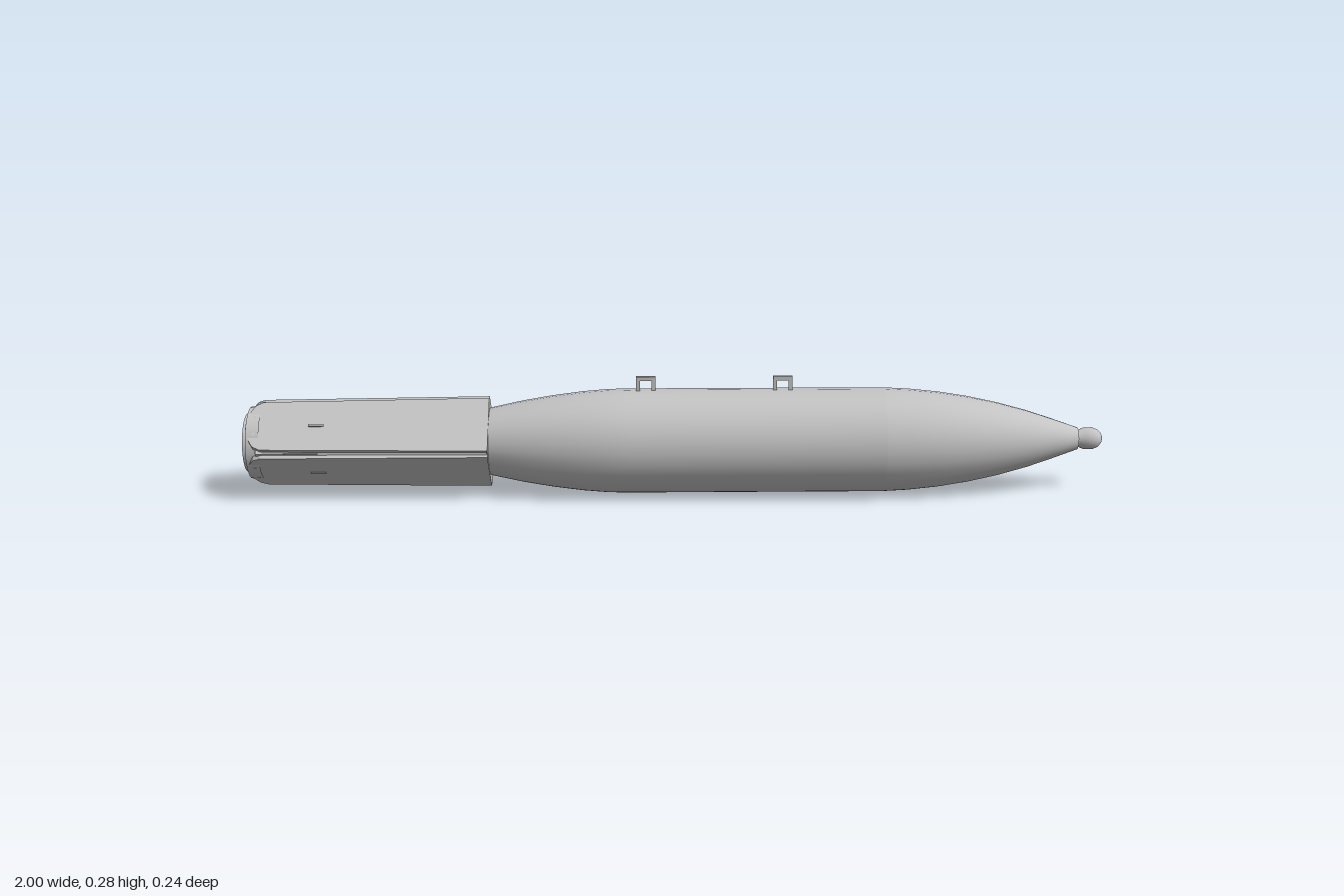
import * as THREE from 'three';

const AXIS_Y = 0.123;

export function createModel() {
  const model = new THREE.Group();
  const grey = new THREE.MeshStandardMaterial({ color: 0xc4c4c4 });
  grey.name = 'light grey paint';

  const add = (parent, name, geometry, x = 0, y = 0, z = 0) => {
    const mesh = new THREE.Mesh(geometry, grey);
    mesh.name = name;
    mesh.position.set(x, y, z);
    parent.add(mesh);
    return mesh;
  };
  // Smooth solid of revolution about x, from [x, radius] pairs with x rising
  const revolve = (pairs) => new THREE.LatheGeometry(
    pairs.map(([x, r]) => new THREE.Vector2(r, x)), 28).rotateZ(-Math.PI / 2);
  const box = (w, h, d) => new THREE.BoxGeometry(w, h, d);

  const round = new THREE.Group();
  round.name = 'bomb';
  round.position.y = AXIS_Y;
  model.add(round);

  // Casing and nose
  add(round, 'casing', revolve([[-0.46, 0.073], [-0.43, 0.08], [-0.36, 0.095], [-0.29, 0.107],
    [-0.22, 0.116], [-0.16, 0.121], [-0.11, 0.122], [0.2, 0.122], [0.48, 0.122]]));
  add(round, 'nose', revolve([[0.48, 0.122], [0.54, 0.119], [0.61, 0.112], [0.68, 0.101],
    [0.75, 0.086], [0.82, 0.067], [0.88, 0.047], [0.94, 0.026]]));
  add(round, 'fuze', revolve([[0.925, 0.021], [0.945, 0.021], [0.955, 0.025], [0.975, 0.026],
    [0.988, 0.021], [0.996, 0.012], [1, 0]]));

  // Two inverted U lugs on top
  for (const x of [-0.072, 0.246]) {
    const lug = new THREE.Group();
    lug.name = 'suspensionLug';
    lug.position.set(x, 0, 0);
    round.add(lug);
    for (const s of [-1, 1]) add(lug, 'lugLeg', box(0.009, 0.04, 0.009), s * 0.018, 0.134, 0);
    add(lug, 'lugBar', box(0.045, 0.009, 0.009), 0, 0.1495, 0);
  }

  // Tail core and its round end
  add(round, 'tailCore', box(0.53, 0.138, 0.138), -0.7, 0, 0).rotation.x = Math.PI / 4;
  add(round, 'endRing', revolve([[-0.99, 0.084], [-0.96, 0.084]]));
  add(round, 'endFace', revolve([[-0.985, 0], [-0.985, 0.072], [-0.99, 0.084]]));
  add(round, 'endDisc', new THREE.CylinderGeometry(0.068, 0.068, 0.03, 28).rotateZ(Math.PI / 2), -0.985);

  // Flat tapering plate with a bowed rear edge
  const outline = new THREE.Shape();
  outline.moveTo(-0.435, -0.07);
  outline.lineTo(-0.435, 0.07);
  outline.lineTo(-0.955, 0.063);
  outline.lineTo(-0.972, 0.054);
  outline.quadraticCurveTo(-1.012, 0, -0.972, -0.054);
  outline.lineTo(-0.955, -0.063);
  outline.closePath();
  const plate = new THREE.ExtrudeGeometry(outline, { depth: 0.012, bevelEnabled: false });
  plate.rotateX(-Math.PI / 2).translate(0, 0.069, 0);
  const pos = plate.attributes.position;
  for (let i = 0; i < pos.count; i++) pos.setY(i, pos.getY(i) + (pos.getX(i) + 0.435) * 0.006);
  plate.computeVertexNormals();

  // Narrow blade filling the seam between plates
  const bladeShape = new THREE.Shape([[-0.437, 0.06], [-0.437, 0.103], [-0.95, 0.095],
    [-0.97, 0.085], [-0.97, 0.06]].map(([x, y]) => new THREE.Vector2(x, y)));
  const blade = new THREE.ExtrudeGeometry(bladeShape, { depth: 0.006, bevelEnabled: false });
  blade.translate(0, 0, -0.003);

  for (let k = 0; k < 4; k++) {
    const side = new THREE.Group();
    side.name = 'tailPanel';
    side.rotation.x = Math.PI / 4 + k * Math.PI / 2;
    round.add(side);
    add(side, 'plate', plate);
    add(side, 'latch', box(0.035, 0.006, 0.006), -0.83, 0.079, 0);
    add(side, 'rearClip', box(0.006, 0.006, 0.05), -0.972, 0.078, 0);
    add(round, 'seamBlade', blade).rotation.x = k * Math.PI / 2;
  }
  return model;
}
